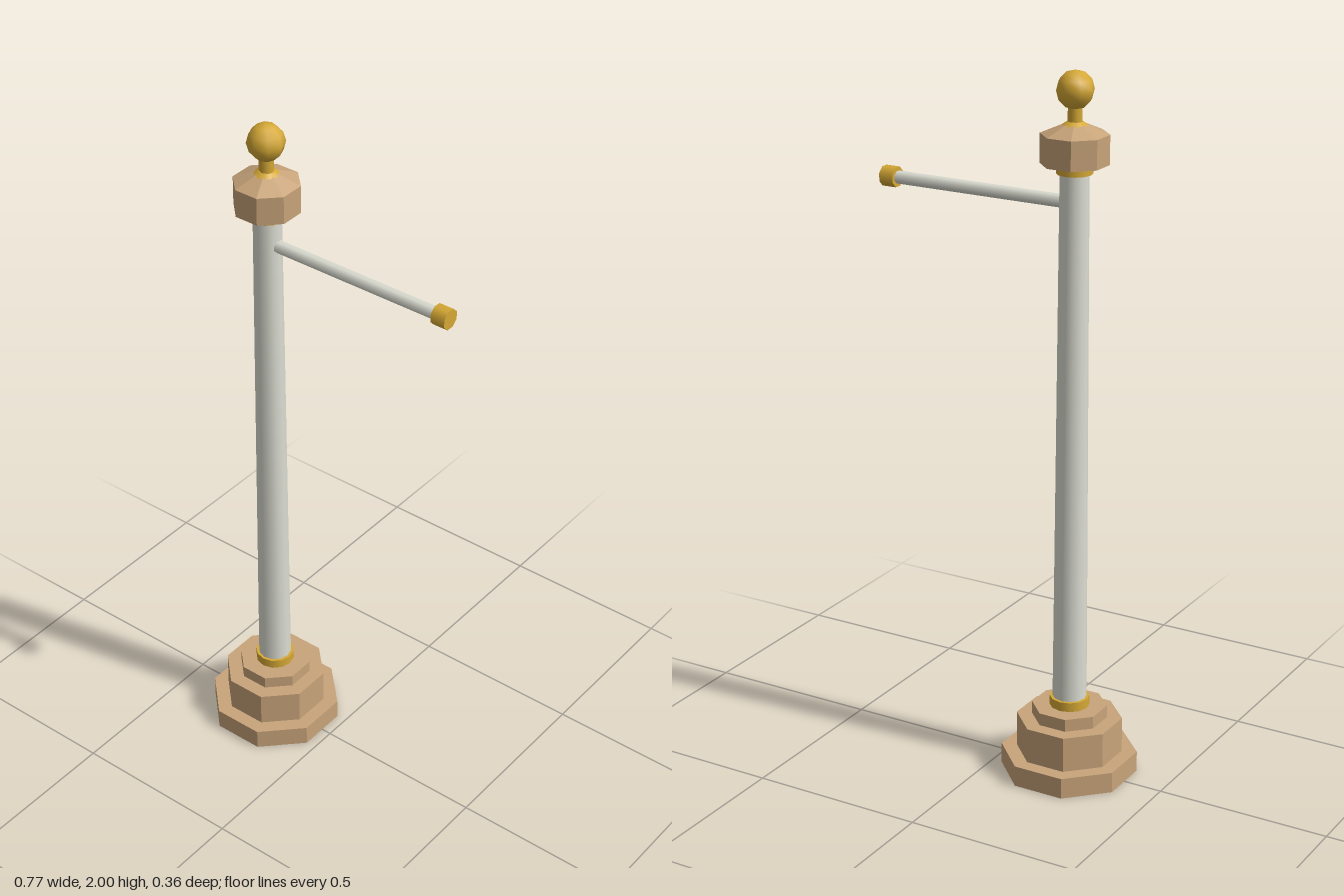
import * as THREE from 'three';

const stone = new THREE.MeshStandardMaterial({ color: 0xc8a47a });
stone.name = 'tan stone';
const paint = new THREE.MeshStandardMaterial({ color: 0xdcddd2 });
paint.name = 'off-white paint';
const gold = new THREE.MeshStandardMaterial({ color: 0xd6a936 });
gold.name = 'gold';

const EIGHTH = Math.PI / 8;

export function createModel() {
  const model = new THREE.Group();
  model.name = 'signPost';
  const post = new THREE.Group();
  post.name = 'post';
  post.position.x = -0.208;
  model.add(post);

  const add = (parent, name, geometry, material) => {
    const mesh = new THREE.Mesh(geometry, material);
    mesh.name = name;
    parent.add(mesh);
    return mesh;
  };

  // Round upright part between two heights
  const round = (name, y0, y1, r0, r1, material, sides = 12) =>
    add(post, name, new THREE.CylinderGeometry(r1, r0, y1 - y0, sides).translate(0, (y0 + y1) / 2, 0), material);

  // Octagonal block with flat sides to the front; a0 and a1 are half widths
  const octagon = (name, y0, y1, a0, a1) => {
    const k = 1 / Math.cos(EIGHTH);
    const g = new THREE.CylinderGeometry(a1 * k, a0 * k, y1 - y0, 8)
      .rotateY(EIGHTH).translate(0, (y0 + y1) / 2, 0).toNonIndexed();
    g.computeVertexNormals();
    return add(post, name, g, stone);
  };

  // Stepped base
  octagon('baseStep', 0, 0.06, 0.178, 0.178);
  octagon('basePlinth', 0.06, 0.162, 0.138, 0.138);
  octagon('baseCap', 0.162, 0.198, 0.098, 0.098);

  // Tapered pole with its collars
  round('lowerCollar', 0.198, 0.225, 0.056, 0.056, gold);
  round('pole', 0.198, 1.75, 0.048, 0.039, paint);
  round('upperCollar', 1.727, 1.752, 0.049, 0.049, gold);

  // Capital and its sloping top
  octagon('capital', 1.752, 1.832, 0.085, 0.085);
  octagon('capitalRoof', 1.832, 1.86, 0.085, 0.025);

  // Finial
  round('finialFoot', 1.845, 1.865, 0.05, 0.022, gold);
  round('finialNeck', 1.86, 1.91, 0.02, 0.02, gold, 8);
  add(post, 'finialBall', new THREE.SphereGeometry(0.052, 8, 6).translate(0, 1.948, 0), gold);

  // Side arm pointing left, with its end cap
  const bar = (name, x0, x1, r, material) =>
    add(model, name, new THREE.CylinderGeometry(r, r, x1 - x0, 8)
      .rotateY(EIGHTH).rotateZ(-Math.PI / 2).translate((x0 + x1) / 2, 1.648, 0), material);
  bar('arm', -0.2, 0.345, 0.018, paint);
  bar('armCap', 0.341, 0.384, 0.029, gold);

  return model;
}
